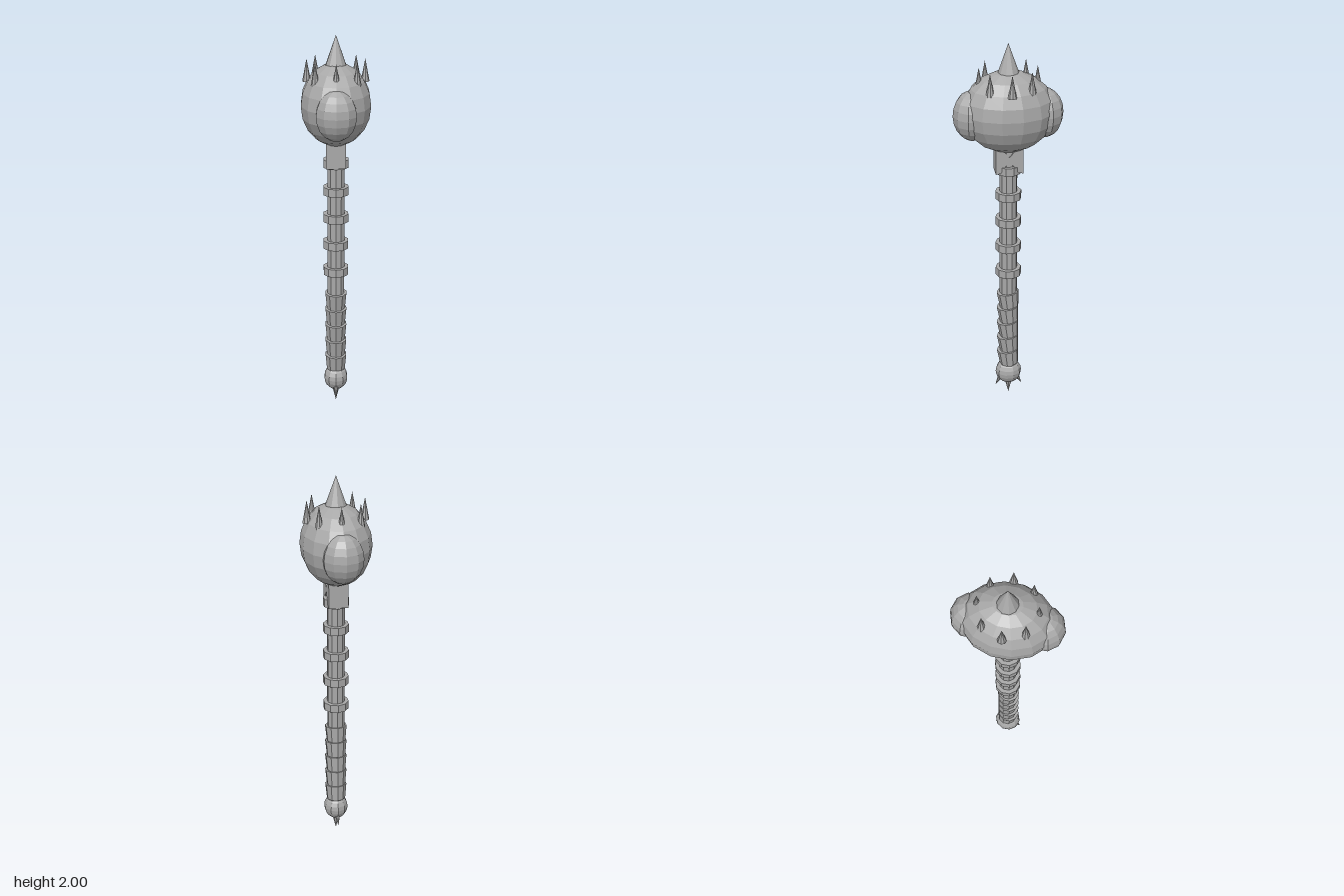
import * as THREE from 'three';

export function createModel() {
  const model = new THREE.Group();
  model.name = 'spikedMace';
  const iron = new THREE.MeshStandardMaterial({ color: 0xa8a8a8 });
  iron.name = 'greyIron';

  // Faceted mesh helper
  function add(name, geometry, x = 0, y = 0, z = 0) {
    const flat = geometry.index ? geometry.toNonIndexed() : geometry;
    flat.computeVertexNormals();
    const mesh = new THREE.Mesh(flat, iron);
    mesh.name = name;
    mesh.position.set(x, y, z);
    model.add(mesh);
    return mesh;
  }

  // Ellipsoid with a row of corners facing front and back
  const ellipsoid = (rx, ry, rz, sides, rows) =>
    new THREE.SphereGeometry(1, sides, rows).rotateY(Math.PI / 2).scale(rx, ry, rz);

  // Head with front and back lobes
  add('head', ellipsoid(0.18, 0.21, 0.235, 14, 10), 0, 1.65, 0);
  for (const s of [1, -1]) {
    add(s > 0 ? 'frontLobe' : 'backLobe', ellipsoid(0.105, 0.128, 0.097, 10, 10), 0, 1.635, s * 0.181);
  }

  // Crown of spikes
  add('crownSpike', new THREE.ConeGeometry(0.057, 0.16, 10), 0, 1.92, 0);
  for (let i = 0; i < 8; i++) {
    const a = (i * Math.PI) / 4;
    add('ringSpike', new THREE.ConeGeometry(0.022, 0.115, 8), 0.146 * Math.sin(a), 1.825, 0.146 * Math.cos(a));
  }

  // Neck block, notched above and below
  const profile = new THREE.Shape([
    [-0.07, 1.33], [-0.045, 1.335], [0, 1.4], [0.045, 1.335], [0.07, 1.33],
    [0.07, 1.46], [0.035, 1.46], [0, 1.42], [-0.035, 1.46], [-0.07, 1.46],
  ].map(([z, y]) => new THREE.Vector2(z, y)));
  const neck = new THREE.ExtrudeGeometry(profile, { depth: 0.1, bevelEnabled: false });
  add('neckBlock', neck.translate(0, 0, -0.05).rotateY(Math.PI / 2));

  // Shaft and its collars
  add('shaft', new THREE.CylinderGeometry(0.046, 0.046, 1.29, 10), 0, 0.815, 0);
  for (let i = 0; i < 5; i++) {
    add('collar', new THREE.CylinderGeometry(0.067, 0.067, 0.042, 10), 0, 0.76 + i * 0.146, 0);
  }

  // Overlapping grip wraps
  for (let i = 0; i < 5; i++) {
    const wrap = add('gripWrap', new THREE.CylinderGeometry(0.058, 0.05, 0.085, 10), 0, 0.235 + i * 0.089, 0);
    wrap.rotation.x = 0.1;
  }

  // Pommel with three spikes
  add('pommel', ellipsoid(0.064, 0.07, 0.07, 10, 10), 0, 0.14, 0);
  add('pommelSpike', new THREE.ConeGeometry(0.022, 0.09, 8).rotateX(Math.PI), 0, 0.045, 0);
  for (const s of [1, -1]) {
    const spike = add('pommelSideSpike', new THREE.ConeGeometry(0.02, 0.08, 8).rotateX(Math.PI), 0, 0.087, s * 0.053);
    spike.rotation.x = -s * 0.5;
  }
  return model;
}
